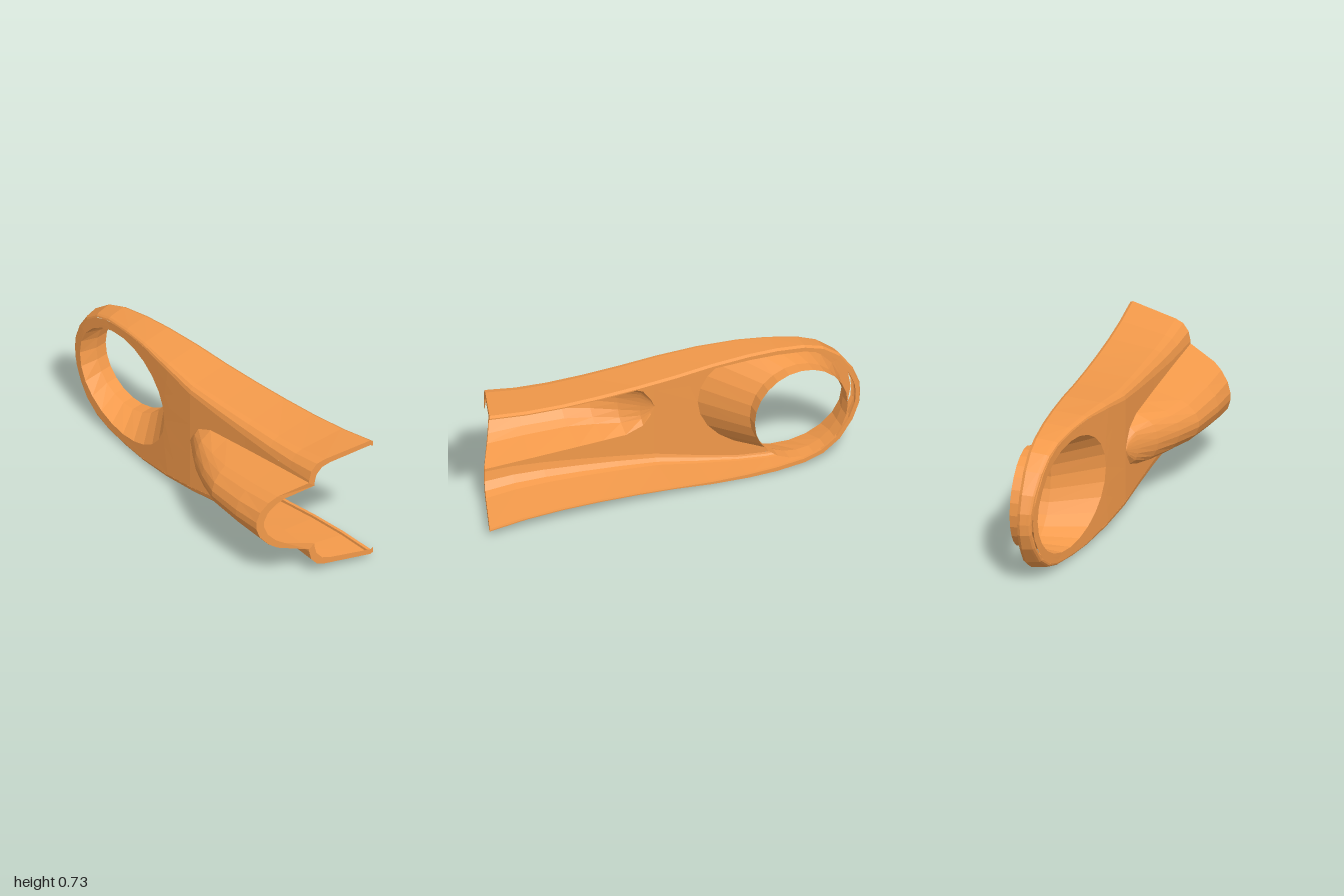
import * as THREE from 'three';

const CY = 0.365;       // height of the mirror plane
const FLANGE = 0.028;   // width of the turned-in front edge
const RIM_X = 0.26;     // open side of the shell

const lerpTable = (table, v) => {
  // table is sorted by descending first value
  if (v >= table[0][0]) return table[0][1];
  for (let i = 1; i < table.length; i++) {
    const [a, fa] = table[i - 1], [b, fb] = table[i];
    if (v >= b) return fa + (fb - fa) * (a - v) / (a - b);
  }
  return table[table.length - 1][1];
};

// x of the sloping face along the length
const FACE = [[1, -0.085], [0.5, -0.045], [0, -0.01], [-0.2, 0.026], [-0.5, 0.092],
  [-0.7, 0.132], [-0.9, 0.165], [-1, 0.19]];
const faceX = z => lerpTable(FACE, z);

// half outline of the rim: z, half height
const HALF = [[1, 0.342], [0.8, 0.32], [0.6, 0.312], [0.4, 0.314], [0.2, 0.322], [0, 0.335],
  [-0.2, 0.355], [-0.4, 0.365], [-0.55, 0.363], [-0.7, 0.347], [-0.8, 0.315],
  [-0.89, 0.25], [-0.96, 0.15], [-0.995, 0.06], [-1, 0]];
const OUTLINE = [...HALF, ...HALF.slice(0, -1).map(([z, h]) => [z, -h]).reverse()];

// ridge stations: z, half width, depth; and its half section: depth share, width share
const RIDGE = [[1, 0.2, 0.245], [0.69, 0.178, 0.253], [0.4, 0.157, 0.235], [0.27, 0.147, 0.18],
  [0.15, 0.138, 0.113], [0.06, 0.1, 0.045], [0.02, 0.045, 0.012], [0, 0, 0]];
const ARC = [[0, 1], [0.6, 0.77], [0.77, 0.62], [0.93, 0.37], [1, 0.1]];
const SECTION = [...ARC, ...ARC.map(([d, w]) => [d, -w]).reverse()];

// places a point, pulling the front end back to its slanted cut
function place(x, y, z) {
  if (z > 0.5) {
    const end = x > -0.085 ? 0.915 + 0.32 * x : 0.888 + 0.53 * (x + 0.085);
    z = 0.5 + (z - 0.5) * (end - 0.5) / 0.5;
  }
  return new THREE.Vector3(x, y + CY, z);
}

// surface through rows of equal length
function loft(rows) {
  const n = rows[0].length, index = [];
  for (let r = 0; r < rows.length - 1; r++) {
    for (let i = 0; i < n - 1; i++) {
      const a = r * n + i, b = a + n;
      index.push(a, b, a + 1, a + 1, b, b + 1);
    }
  }
  const geo = new THREE.BufferGeometry().setFromPoints(rows.flat());
  geo.setIndex(index);
  geo.computeVertexNormals();
  return geo;
}

// sweeps a profile of (x, inset) pairs round the outline
function sweep(profileAt) {
  const last = OUTLINE.length - 1;
  return OUTLINE.map(([z, y], i) => {
    const p = OUTLINE[Math.max(i - 1, 0)], q = OUTLINE[Math.min(i + 1, last)];
    let nz = p[1] - q[1], ny = q[0] - p[0];
    if (i === 0 || i === last) { nz = 0; ny = -Math.sign(y); }
    const len = Math.hypot(nz, ny);
    return profileAt(z).map(([x, d]) => ({ x, y: y + ny / len * d, z: z + nz / len * d }));
  });
}
const placeRows = rows => rows.map(r => r.map(v => place(v.x, v.y, v.z)));

// from the chamfered rim round the corner to the face, t inside the outer surface
const wallProfile = t => z => {
  const k = THREE.MathUtils.clamp((z + 0.4) / 1.4, 0, 1);
  const taper = 0.008 + 0.02 * k, inset = 0.018 + 0.082 * k, drop = 0.025 + 0.06 * k;
  const profile = [[RIM_X, t + 0.008], [RIM_X - 0.015, t]];
  for (let s = 0; s <= 3; s++) {
    const a = s / 3 * Math.PI / 2;
    profile.push([faceX(z) + t + drop * (1 - Math.sin(a)), t + taper + inset * (1 - Math.cos(a))]);
  }
  return profile;
};

// narrow bead inside the rim, wider round the closed end
const lipProfile = z => {
  const w = 0.014 + 0.016 * THREE.MathUtils.clamp(-z / 0.5, 0, 1);
  return [[RIM_X, 0.008], [RIM_X, w], [RIM_X - 0.015, w], [RIM_X - 0.015, 0]];
};

const ridgeRow = ([z, w, d], t) => SECTION.map(([sd, sw]) =>
  place(faceX(z) + t - (d - t * 0.3) * sd, (w - t * 0.95) * sw, z));

// ellipse where the funnel leaves the face
const MOUTH = { z: -0.5725, rz: 0.3575, ry: 0.29 };
const SIDES = 24;
const mouthPoint = a => [MOUTH.z + MOUTH.rz * Math.cos(a), MOUTH.ry * Math.sin(a)];

// half of the face, between the wall and the ridge or the funnel mouth
function faceRows(edge, side) {
  const onFace = (z, y) => place(faceX(z), side * y, z);
  const strip = (inner, outer) => [0, 1, 2, 3].map(i => {
    const f = i / 3;
    return onFace(inner[0] + (outer[0] - inner[0]) * f, inner[1] + (outer[1] - inner[1]) * f);
  });
  const rows = RIDGE.map(([z, w]) => strip([z, w], [z, lerpTable(edge, z)]));
  const start = -0.1;
  const round = new THREE.SplineCurve([[start, lerpTable(edge, start)],
    ...edge.filter(([z]) => z < start)].map(p => new THREE.Vector2(...p)));
  for (let i = 0; i <= SIDES / 2; i++) {
    const f = i / (SIDES / 2), o = round.getPointAt(f);
    rows.push(strip(mouthPoint(f * Math.PI), [o.x, o.y]));
  }
  return rows;
}

export function createModel() {
  const model = new THREE.Group();
  model.name = 'shellCover';
  const material = new THREE.MeshStandardMaterial({
    color: 0xf2994a, flatShading: true, side: THREE.DoubleSide,
  });
  const add = (name, rows) => {
    const mesh = new THREE.Mesh(loft(rows), material);
    mesh.name = name;
    model.add(mesh);
  };

  // side wall and rim
  const walls = sweep(wallProfile(0));
  add('sideWall', placeRows(walls));
  add('rimLip', placeRows(sweep(lipProfile)));

  // sloping face in two mirrored halves
  const edge = walls.slice(0, HALF.length).map(p => p[p.length - 1]).map(v => [v.z, v.y]);
  add('upperFace', faceRows(edge, 1));
  add('lowerFace', faceRows(edge, -1));

  // rounded ridge
  add('ridge', RIDGE.map(s => ridgeRow(s, 0)));

  // turned-in edge along the open front
  const frontRow = t => {
    const rows = placeRows(sweep(wallProfile(t)));
    return [...rows[0], ...ridgeRow(RIDGE[0], t), ...rows[rows.length - 1].reverse()];
  };
  add('frontFlange', [frontRow(0), frontRow(FLANGE)]);

  // funnel from the face to a short collar
  const rings = [[], [], []];
  for (let i = 0; i <= SIDES; i++) {
    const a = i / SIDES * Math.PI * 2, y = 0.2525 * Math.sin(a), z = -0.65 + 0.25 * Math.cos(a);
    const [mz, my] = mouthPoint(a);
    rings[0].push(place(faceX(mz), my, mz));
    rings[1].push(place(RIM_X, y, z));
    rings[2].push(place(0.327, y, z));
  }
  add('funnel', rings.slice(0, 2));
  add('collar', rings.slice(1));

  return model;
}
